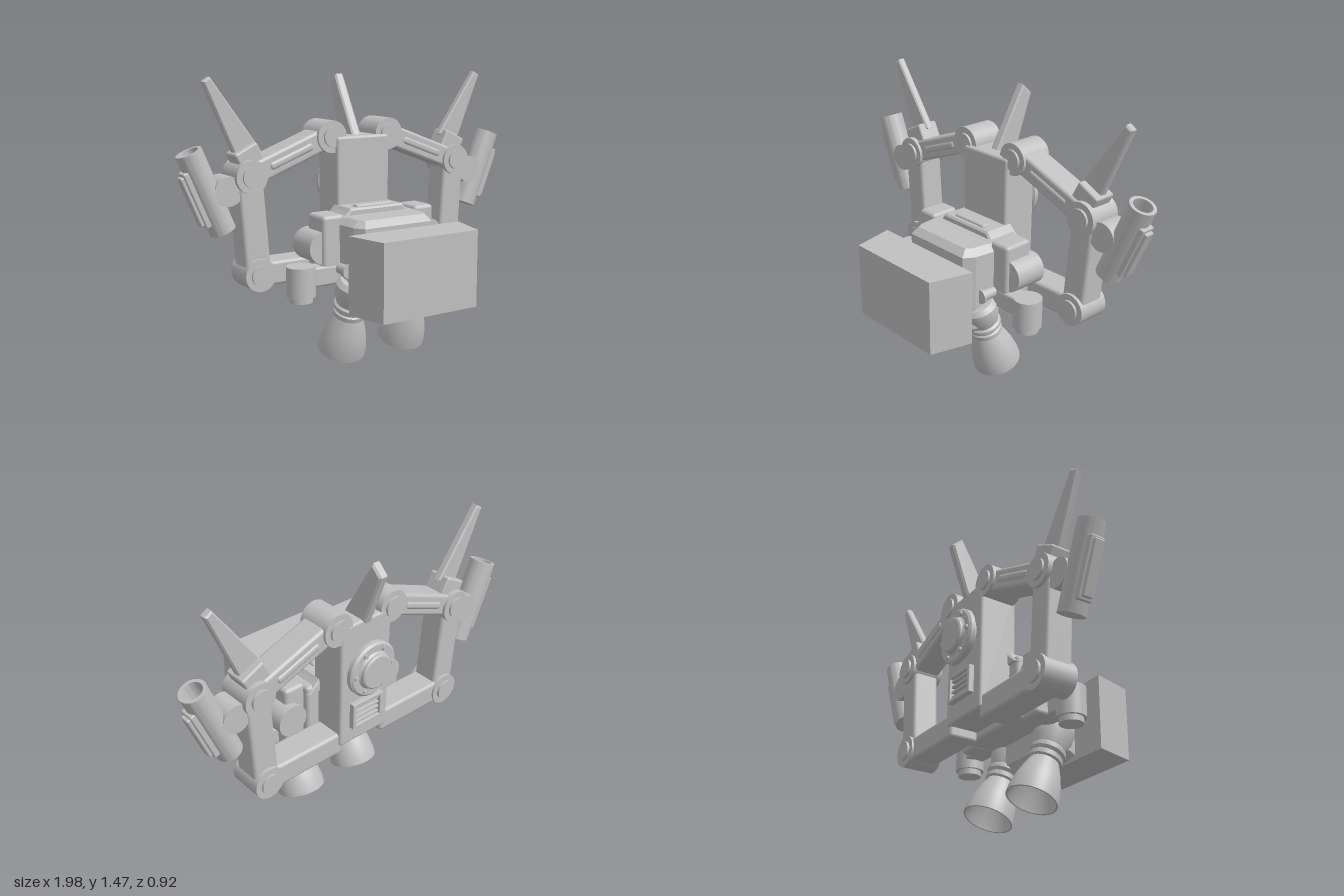
import * as THREE from 'three';
import { toCreasedNormals } from 'three/addons/utils/BufferGeometryUtils.js';
import { RoundedBoxGeometry } from 'three/addons/geometries/RoundedBoxGeometry.js';

const grey = new THREE.MeshStandardMaterial({ color: 0xc0c0c0 });
grey.name = 'light grey';
const ARM_Z = -0.265;

export function createModel() {
  const root = new THREE.Group();
  root.name = 'mechanicalBackpack';

  const add = (name, geo, x, y, z, parent = root) => {
    const m = new THREE.Mesh(geo, grey);
    m.name = name;
    m.position.set(x, y, z);
    parent.add(m);
    return m;
  };
  const box = (w, h, d, r = 0.012) => new RoundedBoxGeometry(w, h, d, 2, r);
  const cyl = (r, len, r2 = r) => new THREE.CylinderGeometry(r, r2, len, 32);
  // Cylinder lying along z
  const cylZ = (r, len) => cyl(r, len).rotateX(Math.PI / 2);
  // Outline extruded symmetrically about z = 0
  const plate = (pts, depth, bevel = 0) => {
    const shape = new THREE.Shape(pts.map(([x, y]) => new THREE.Vector2(x, y)));
    return new THREE.ExtrudeGeometry(shape, {
      depth: depth - 2 * bevel, bevelEnabled: bevel > 0, bevelSize: bevel,
      bevelOffset: -bevel, bevelThickness: bevel, bevelSegments: 1,
    }).translate(0, 0, bevel - depth / 2);
  };
  const lathe = (pts) => toCreasedNormals(new THREE.LatheGeometry(
    pts.map(([r, y]) => new THREE.Vector2(r, y)), 40), 0.6);
  // Bar between two points in the arm plane
  const bar = (name, a, b, w, d) => {
    const dx = b[0] - a[0], dy = b[1] - a[1];
    const m = add(name, box(Math.hypot(dx, dy), w, d, 0.018),
      (a[0] + b[0]) / 2, (a[1] + b[1]) / 2, ARM_Z);
    m.rotation.z = Math.atan2(dy, dx);
    return m;
  };
  // Hinge drum with a smaller cap at both ends
  const joint = (name, x, y) => {
    const g = new THREE.Group();
    g.name = name;
    g.position.set(x, y, ARM_Z);
    add('drum', cylZ(0.085, 0.18), 0, 0, 0, g);
    add('caps', cylZ(0.053, 0.205), 0, 0, 0, g);
    root.add(g);
  };

  // Detached tapered block at the front
  const block = plate([[-0.335, -0.235], [-0.28, -0.46], [0.28, -0.46], [0.335, -0.235]], 0.395);
  add('frontBlock', block.rotateX(-Math.PI / 2), 0, 0.53, 0);

  // Main body: front shell, rear housing and stepped top
  const shell = plate([[-0.25, 0.02], [-0.235, -0.12], [-0.2, -0.178],
    [0.2, -0.178], [0.235, -0.12], [0.25, 0.02]], 0.48, 0.035);
  add('frontShell', shell.rotateX(-Math.PI / 2), 0, 0.53, 0);
  add('rearHousing', box(0.46, 0.34, 0.21, 0.02), 0, 0.6, -0.085);
  const cover = plate([[-0.23, 0.73], [0.23, 0.73], [0.175, 0.785], [0.16, 0.803], [-0.16, 0.803], [-0.175, 0.785]], 0.18, 0.01);
  add('topCover', cover, 0, 0, -0.11);
  add('topHandle', box(0.22, 0.03, 0.05, 0.01), 0, 0.8, -0.07);

  // Rear column, disc and vent
  add('column', box(0.32, 0.69, 0.205, 0.015), 0, 0.815, -0.255);
  add('discBase', cylZ(0.115, 0.04), 0, 0.9, -0.36);
  add('disc', lathe([[0, 0], [0.135, 0], [0.147, 0.008], [0.147, 0.03],
    [0.135, 0.04], [0.1, 0.04], [0.092, 0.05], [0.092, 0.062], [0.084, 0.068],
    [0, 0.068]]).rotateX(-Math.PI / 2), 0, 0.9, -0.375);
  for (let i = 0; i < 6; i++) {
    const a = (i / 6) * Math.PI * 2;
    add('discBolt', cylZ(0.012, 0.016), 0.117 * Math.cos(a), 0.9 + 0.117 * Math.sin(a), -0.418);
  }
  const ventFrame = [[0, 0.065, 0.2, 0.018], [0, -0.065, 0.2, 0.018],
    [-0.09, 0, 0.02, 0.13], [0.09, 0, 0.02, 0.13]];
  for (const [x, y, w, h] of ventFrame) add('ventFrame', box(w, h, 0.04, 0.004), x, 0.64 + y, -0.366);
  for (let i = -1.5; i < 2; i++) {
    add('ventSlat', box(0.16, 0.014, 0.025, 0.003), 0, 0.64 + i * 0.029, -0.364);
  }

  // Swept centre fin
  const fin = plate([[-0.21, 1.14], [-0.36, 1.14], [-0.46, 1.42], [-0.4, 1.475]], 0.054, 0.01);
  add('centreFin', fin, 0, 0, 0).rotation.y = -Math.PI / 2;

  for (const s of [1, -1]) {
    // Shoulder pod, side tank and control jet
    add('sidePod', box(0.122, 0.36, 0.165, 0.02), s * 0.28, 0.605, -0.075);
    add('sideTank', cylZ(0.085, 0.18), s * 0.325, 0.62, -0.1);
    add('jetBracket', box(0.24, 0.1, 0.1), s * 0.33, 0.48, -0.04);
    add('jetBody', cyl(0.074, 0.155), s * 0.45, 0.462, -0.035);
    add('jetOutlet', cyl(0.06, 0.05), s * 0.45, 0.38, -0.035);
    add('spool', cylZ(0.028, 0.11), s * 0.245, 0.51, 0.04);
    add('spoolFlange', cylZ(0.038, 0.012), s * 0.245, 0.51, 0.094);

    // Main rocket nozzle with hollow bell, collars and gimbal
    const nozzle = add('nozzle', lathe([[0, 0.18], [0.05, 0.18], [0.09, 0.11], [0.119, 0],
      [0.128, 0], [0.126, 0.04], [0.115, 0.1], [0.096, 0.16], [0.074, 0.215],
      [0.085, 0.222], [0.085, 0.245], [0.077, 0.252], [0.09, 0.266], [0.09, 0.286],
      [0.08, 0.296], [0.1, 0.36], [0.1, 0.405], [0.08, 0.43], [0, 0.435]]),
    s * 0.19, 0.049, -0.08);
    nozzle.rotation.x = 0.36;

    // Articulated arm
    const shoulder = [s * 0.175, 1.16], elbow = [s * 0.635, 0.985], wrist = [s * 0.6, 0.48];
    joint('shoulderJoint', ...shoulder);
    joint('elbowJoint', ...elbow);
    joint('wristJoint', ...wrist);
    bar('upperArm', shoulder, elbow, 0.115, 0.15);
    bar('upperArmRib', [s * 0.28, 1.12], [s * 0.53, 1.025], 0.045, 0.165);
    bar('foreArm', elbow, wrist, 0.138, 0.145);
    bar('lowerLink', wrist, [s * 0.13, 0.48], 0.125, 0.16);

    // Fin and its socket above the elbow
    const socket = add('finSocket', box(0.135, 0.15, 0.125), s * 0.62, 1.06, ARM_Z);
    socket.rotation.z = -s * -0.47 - s * 0.94;
    add('armFin', plate([[s * 0.565, 1.13], [s * 0.685, 1.07], [s * 0.848, 1.455],
      [s * 0.812, 1.478]], 0.045, 0.008), 0, 0, ARM_Z);

    // Hollow launcher tube with side rail, on a pivot
    add('launcherPivot', cylZ(0.075, 0.13), s * 0.75, 0.92, ARM_Z);
    const launcher = new THREE.Group();
    launcher.name = 'launcher';
    launcher.position.set(s * 0.845, 0.918, ARM_Z);
    launcher.rotation.z = -s * 0.387;
    root.add(launcher);
    add('tube', lathe([[0, -0.219], [0.067, -0.219], [0.067, 0.219], [0.049, 0.219],
      [0.049, 0.08], [0, 0.08]]), 0, 0, 0, launcher);
    add('railBase', box(0.04, 0.3, 0.08, 0.008), s * 0.062, -0.01, 0, launcher);
    add('rail', box(0.04, 0.27, 0.054, 0.008), s * 0.08, -0.01, 0, launcher);
  }
  return root;
}
